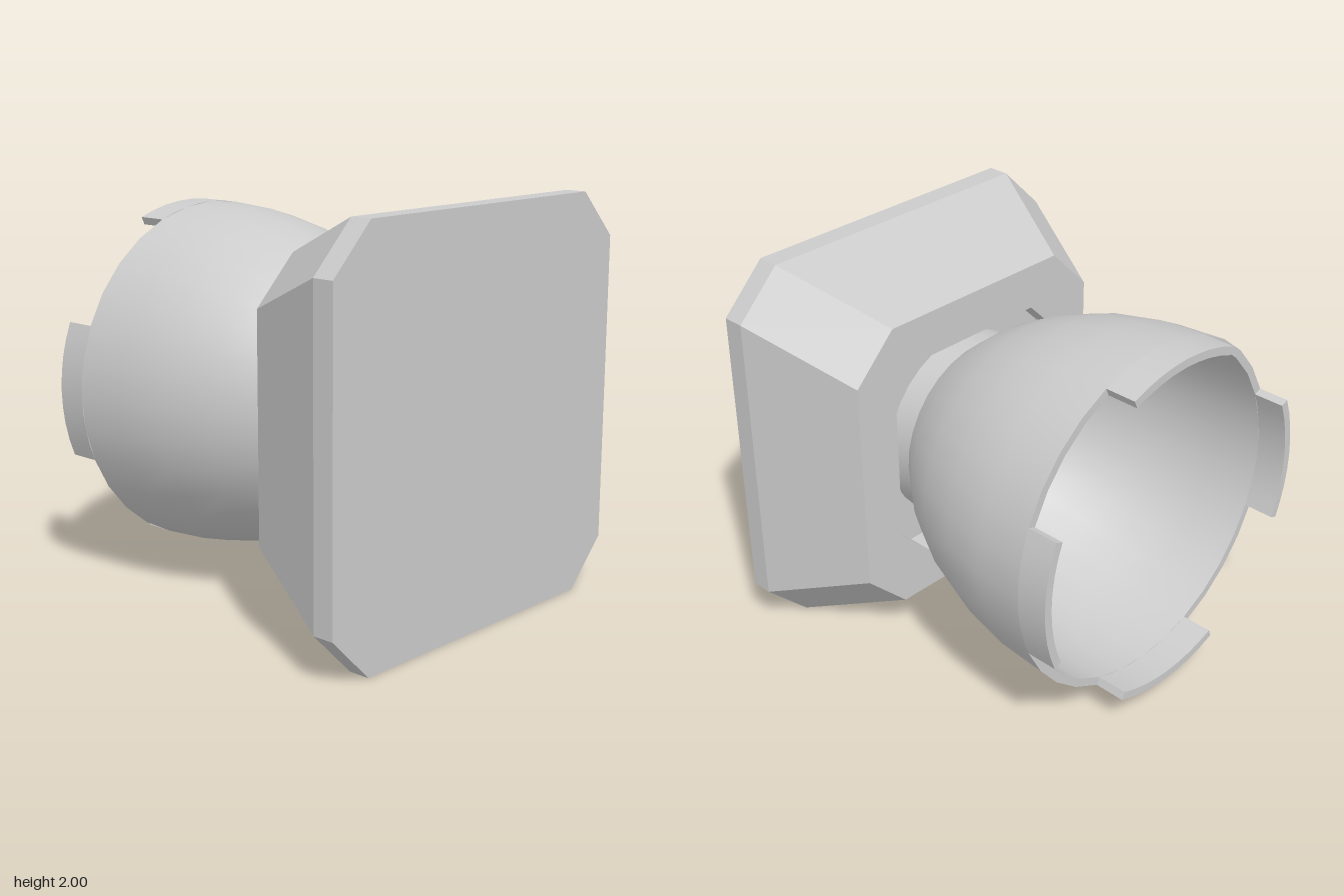
import * as THREE from 'three';
import { toCreasedNormals } from 'three/addons/utils/BufferGeometryUtils.js';

const material = new THREE.MeshStandardMaterial({ color: 0xcccccc });

// Corner points of a square with cut corners: half width h, half straight edge c
function octagon(h, c, z) {
  return [[h, -c], [h, c], [c, h], [-c, h], [-h, c], [-h, -c], [-c, -h], [c, -h]]
    .map(([x, y]) => [x, y, z]);
}

// Flat-faced skin through octagonal sections, front to back
function skin(sections) {
  const rings = sections.map((s) => octagon(...s));
  const positions = [];
  for (let r = 0; r < rings.length - 1; r++) {
    const a = rings[r], b = rings[r + 1];
    for (let i = 0; i < 8; i++) {
      const j = (i + 1) % 8;
      if (sections[r + 1][0] > 0) positions.push(...a[i], ...b[i], ...b[j]);
      if (sections[r][0] > 0) positions.push(...a[i], ...b[j], ...a[j]);
    }
  }
  const geometry = new THREE.BufferGeometry();
  geometry.setAttribute('position', new THREE.Float32BufferAttribute(positions, 3));
  geometry.computeVertexNormals();
  return geometry;
}

// Surface turned around the z axis from [radius, z] pairs
function turned(profile) {
  const points = profile.map(([r, z]) => new THREE.Vector2(r, z));
  const geometry = new THREE.LatheGeometry(points, 32).rotateX(Math.PI / 2);
  return toCreasedNormals(geometry, Math.PI / 6);
}

export function createModel() {
  const model = new THREE.Group();
  const add = (name, geometry) => {
    const mesh = new THREE.Mesh(geometry, material);
    mesh.name = name;
    mesh.position.y = 1;
    model.add(mesh);
    return mesh;
  };

  // Chamfered base block with a shallow pocket in its back
  const pocketFloor = 0.44;
  add('base', skin([
    [0, 0, 0.97], [1, 0.77, 0.97], [1, 0.77, 0.86], [0.78, 0.55, 0.31],
    [0.55, 0.38, 0.31], [0.55, 0.38, pocketFloor], [0, 0, pocketFloor],
  ]));

  // Half-ellipsoid cup, open towards the back
  const outerR = 0.887, innerR = 0.845, rimZ = -0.81, length = 1.342;
  const arc = (radius) => Array.from({ length: 6 }, (_, i) => {
    const t = i * Math.PI / 16;
    return [radius * Math.cos(t), rimZ + length * Math.sin(t)];
  });
  const outer = arc(outerR), inner = arc(innerR).reverse();
  add('cupOutside', turned([[innerR, rimZ], ...outer, [outer[5][0], pocketFloor]]));
  add('cupInside', turned([[0, inner[0][1]], ...inner]));

  // Four curved tabs on the rim
  const half = Math.PI / 8;
  const tabShape = new THREE.Shape();
  tabShape.absarc(0, 0, outerR, -half, half, false);
  tabShape.absarc(0, 0, innerR, half, -half, true);
  tabShape.closePath();
  const tabGeometry = toCreasedNormals(
    new THREE.ExtrudeGeometry(tabShape, { depth: 0.16, bevelEnabled: false, curveSegments: 4 }),
    Math.PI / 6,
  );
  for (let i = 0; i < 4; i++) {
    const tab = add('rimTab', tabGeometry);
    tab.position.z = -0.97;
    tab.rotation.z = i * Math.PI / 2;
  }

  return model;
}
